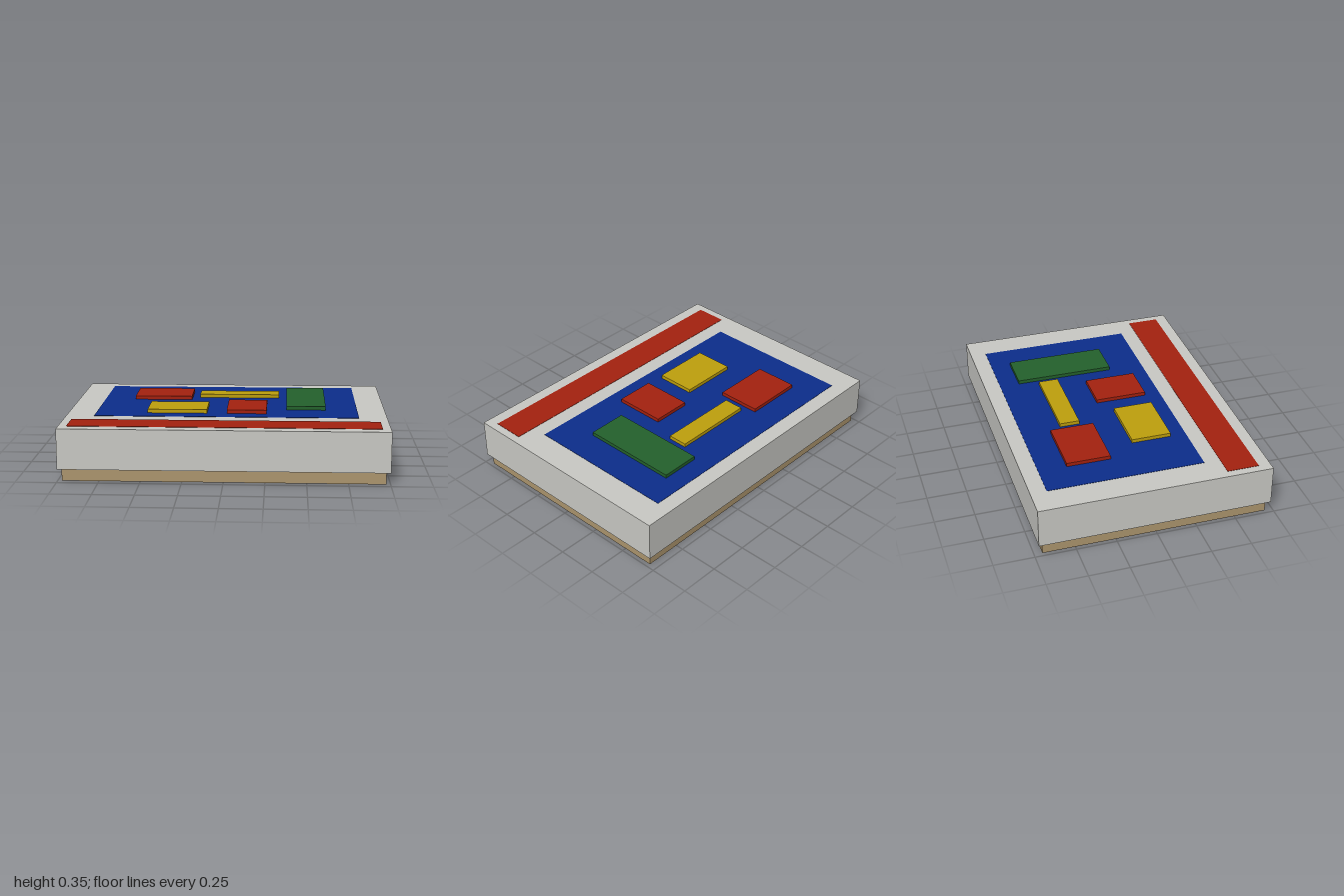
import * as THREE from 'three';

export function createModel() {
  const model = new THREE.Group();
  model.name = 'boardGameBox';

  const mat = (name, color) => {
    const m = new THREE.MeshStandardMaterial({ color });
    m.name = name;
    return m;
  };
  const grey = mat('lidGrey', 0xcacac5);
  const tan = mat('cardboardTan', 0xad966e);
  const blue = mat('panelBlue', 0x0c2d8c);
  const red = mat('red', 0xa5210f);
  const yellow = mat('yellow', 0xbfa00d);
  const green = mat('green', 0x24622c);

  // Box given by its extents along each axis
  const block = (name, material, [x0, x1], [y0, y1], [z0, z1]) => {
    const mesh = new THREE.Mesh(new THREE.BoxGeometry(x1 - x0, y1 - y0, z1 - z0), material);
    mesh.position.set((x0 + x1) / 2, (y0 + y1) / 2, (z0 + z1) / 2);
    mesh.name = name;
    model.add(mesh);
  };

  const lidTop = 0.325;

  // Cardboard tray and the slightly wider lid over it
  block('tray', tan, [-0.975, 0.975], [0, 0.075], [-0.7, 0.7]);
  block('lid', grey, [-1, 1], [0.075, lidTop], [-0.725, 0.725]);

  // Printed areas on the lid
  const print = [lidTop, lidTop + 0.002];
  block('picturePanel', blue, [-0.825, 0.825], print, [-0.625, 0.35]);
  block('titleBand', red, [-0.95, 0.95], print, [0.45, 0.65]);

  // Raised tiles on the picture panel
  const raised = [lidTop, 0.35];
  [
    ['redTileBack', red, [-0.625, -0.25], [-0.45, -0.175]],
    ['yellowTileBack', yellow, [-0.2, 0.325], [-0.375, -0.25]],
    ['greenTile', green, [0.375, 0.625], [-0.5, 0.125]],
    ['yellowTileFront', yellow, [-0.5, -0.125], [0, 0.25]],
    ['redTileFront', red, [0, 0.25], [-0.075, 0.25]],
  ].forEach(([name, material, x, z]) => block(name, material, x, raised, z));

  return model;
}
